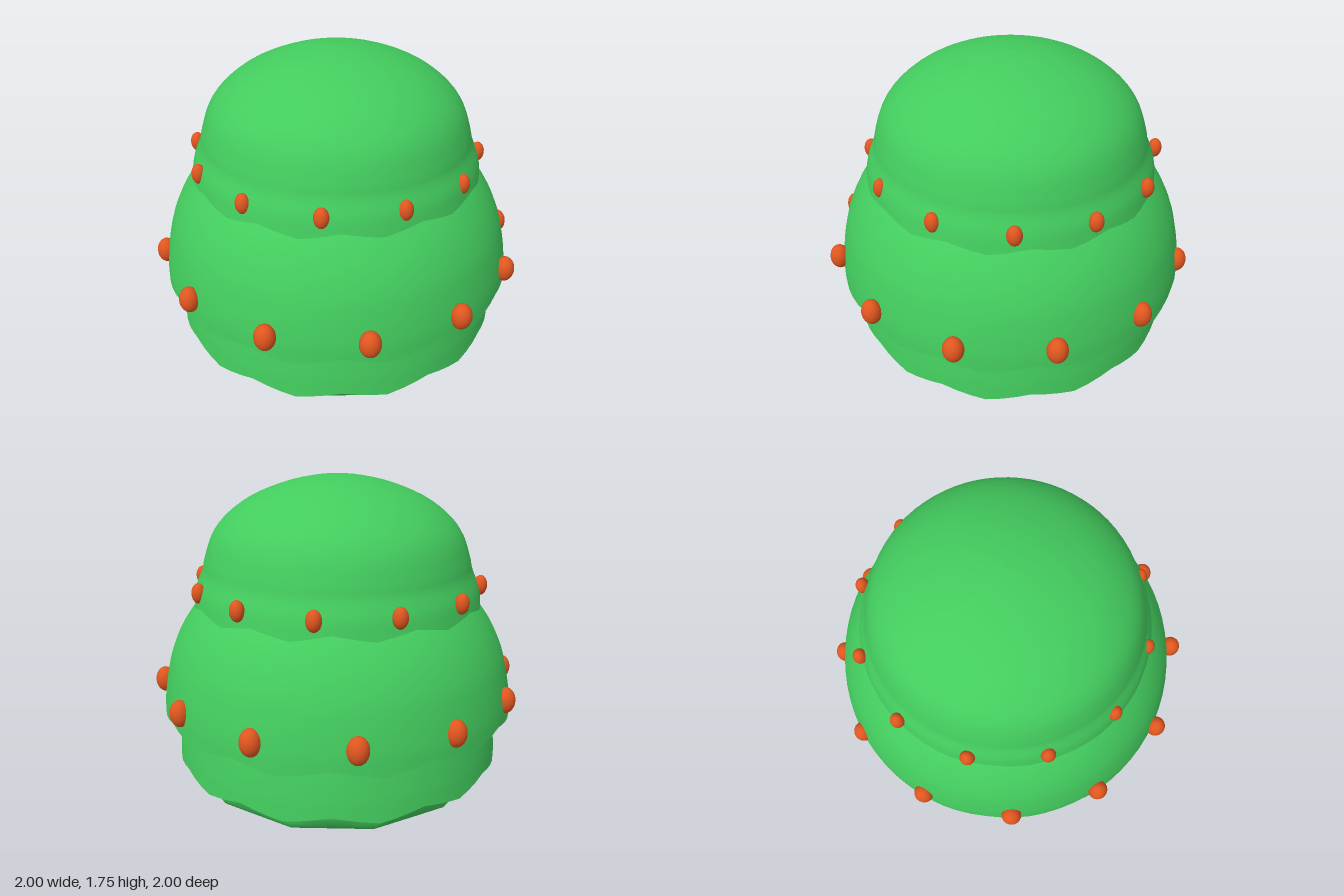
import * as THREE from 'three';
import { mergeVertices } from 'three/addons/utils/BufferGeometryUtils.js';

const SEGMENTS = 72;
const STEP = Math.PI / 6; // twelve teeth, gems and base corners
const CENTRE = -0.01;

// Smooth lathe through [radius, height] points, listed from bottom to top
function lathe(points, samples) {
  const curve = new THREE.SplineCurve(points.map(([r, y]) => new THREE.Vector2(r, y)));
  const profile = curve.getPoints(samples);
  profile.forEach((p) => { p.x = Math.max(p.x, 0); });
  return new THREE.LatheGeometry(profile, SEGMENTS);
}

// Distance (0..1) from the middle of a sector to its corner
function sector(angle) {
  const turn = angle / STEP;
  return 2 * Math.abs(turn - Math.round(turn));
}

// Open shell whose lowest ring is cut into a zigzag
function toothedShell(points, depth) {
  const geometry = lathe(points, 30);
  const pos = geometry.attributes.position;
  const bottom = points[0][1];
  for (let i = 0; i < pos.count; i++) {
    if (Math.abs(pos.getY(i) - bottom) > 1e-5) continue;
    const t = sector(Math.atan2(pos.getX(i), pos.getZ(i)));
    pos.setY(i, bottom - depth * t);
  }
  return geometry;
}

// Round body that blends into a twelve-sided underside
function baseGeometry() {
  const g = lathe([[0, 0.005], [0.22, 0.018], [0.48, 0.058], [0.7, 0.102],
    [0.775, 0.13], [0.81, 0.19], [0.82, 0.25], [0.82, 0.36], [0.78, 0.48]], 40);
  const pos = g.attributes.position;
  for (let i = 0; i < pos.count; i++) {
    const x = pos.getX(i), z = pos.getZ(i);
    const half = STEP / 2;
    const polygon = 1.02 * Math.cos(half) / Math.cos(sector(Math.atan2(x, z)) * half);
    const blend = 1 - THREE.MathUtils.smoothstep(pos.getY(i), 0.12, 0.23);
    const k = THREE.MathUtils.lerp(1, polygon, blend);
    pos.setX(i, x * k);
    pos.setZ(i, z * k);
  }
  g.deleteAttribute('uv');
  g.deleteAttribute('normal');
  const merged = mergeVertices(g);
  merged.computeVertexNormals();
  return merged;
}

export function createModel() {
  const model = new THREE.Group();
  const green = new THREE.MeshStandardMaterial({ color: 0x43cc5e, side: THREE.DoubleSide });
  green.name = 'leafGreen';
  const orange = new THREE.MeshStandardMaterial({ color: 0xe0561f });
  orange.name = 'gemOrange';

  function addPart(name, geometry) {
    const mesh = new THREE.Mesh(geometry, green);
    mesh.name = name;
    mesh.position.set(CENTRE, 0, CENTRE);
    model.add(mesh);
  }

  // Ring of twelve ellipsoid gems
  function addGems(name, radius, y, offset, centre, [width, height, depth]) {
    const ring = new THREE.Group();
    ring.name = name;
    ring.position.set(centre, y, centre);
    const geometry = new THREE.SphereGeometry(1, 20, 14).scale(width, height, depth);
    for (let i = 0; i < 12; i++) {
      const a = THREE.MathUtils.degToRad(offset) + i * STEP;
      const gem = new THREE.Mesh(geometry, orange);
      gem.name = 'gem';
      gem.position.set(radius * Math.sin(a), 0, radius * Math.cos(a));
      gem.rotation.y = a;
      ring.add(gem);
    }
    model.add(ring);
  }

  // Stacked body, from the ground up
  addPart('base', baseGeometry());
  addPart('lowerSkirt', toothedShell([[0.89, 0.267], [0.879, 0.37], [0.85, 0.53],
    [0.8, 0.68], [0.7, 0.82], [0.5, 0.93]], 0.042));
  addPart('middleSkirt', toothedShell([[0.955, 0.545], [0.948, 0.62], [0.925, 0.74],
    [0.89, 0.86], [0.825, 0.99], [0.73, 1.11], [0.6, 1.21], [0.4, 1.3]], 0.045));
  addPart('cap', toothedShell([[0.768, 1.122], [0.752, 1.19], [0.718, 1.27], [0.702, 1.335],
    [0.66, 1.45], [0.585, 1.545], [0.46, 1.635], [0.29, 1.705], [0.13, 1.742],
    [0, 1.754]], 0.038));

  // Gems above each toothed edge
  addGems('capGems', 0.757, 1.19, -6.5, -0.02, [0.038, 0.053, 0.036]);
  addGems('skirtGems', 0.955, 0.642, 7.5, 0, [0.054, 0.07, 0.052]);

  return model;
}
